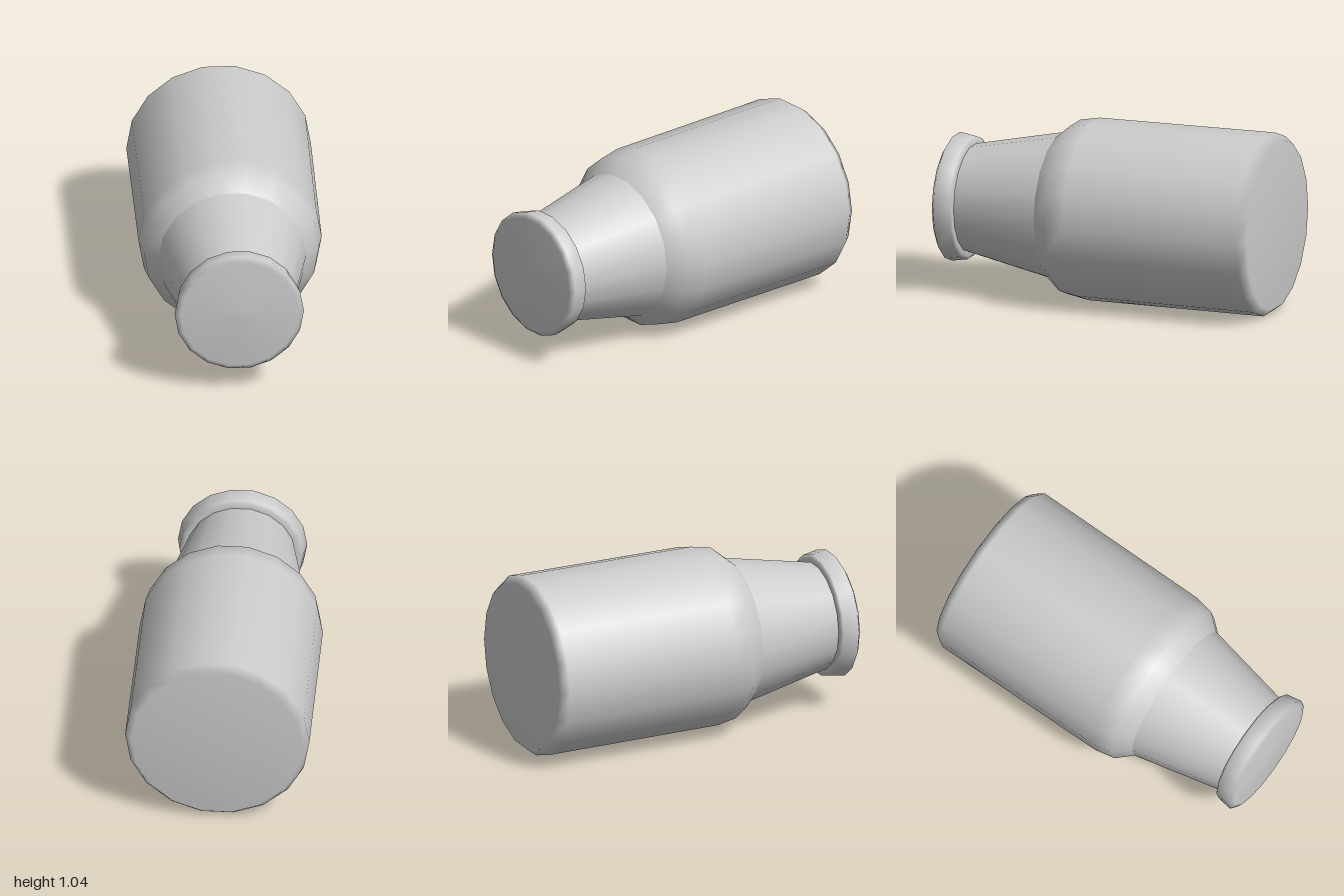
import * as THREE from 'three';

const SIDES = 18;
const AXIS_Y = 0.5175;

// Turns a [radius, z] profile (back to front) around the horizontal z axis.
// A repeated point makes a sharp edge.
function turned(name, profile, material) {
  const points = profile.map(([r, z]) => new THREE.Vector2(r, z));
  const geometry = new THREE.LatheGeometry(points, SIDES, Math.PI / 2);
  geometry.rotateX(Math.PI / 2);
  geometry.translate(0, AXIS_Y, 0);
  // the axis rises very slightly towards the back
  const p = geometry.attributes.position;
  for (let i = 0; i < p.count; i++) p.setY(i, p.getY(i) + 0.004 * Math.max(0, -p.getZ(i)));
  const mesh = new THREE.Mesh(geometry, material);
  mesh.name = name;
  return mesh;
}

export function createModel() {
  const group = new THREE.Group();
  group.name = 'bottle';
  const material = new THREE.MeshStandardMaterial({ color: 0xcccccc });

  // wide body with bevelled base and rounded shoulder
  group.add(turned('body', [
    [0, -1], [0.49, -1], [0.528, -0.95], [0.524, 0.12], [0.502, 0.24], [0.424, 0.33],
  ], material));

  // tapering neck
  group.add(turned('neck', [[0.424, 0.33], [0.312, 0.865]], material));

  // cap with a rounded rim and slightly domed face
  group.add(turned('cap', [
    [0.305, 0.862], [0.335, 0.864], [0.355, 0.875], [0.37, 0.965], [0.338, 0.985], [0, 1],
  ], material));

  return group;
}
